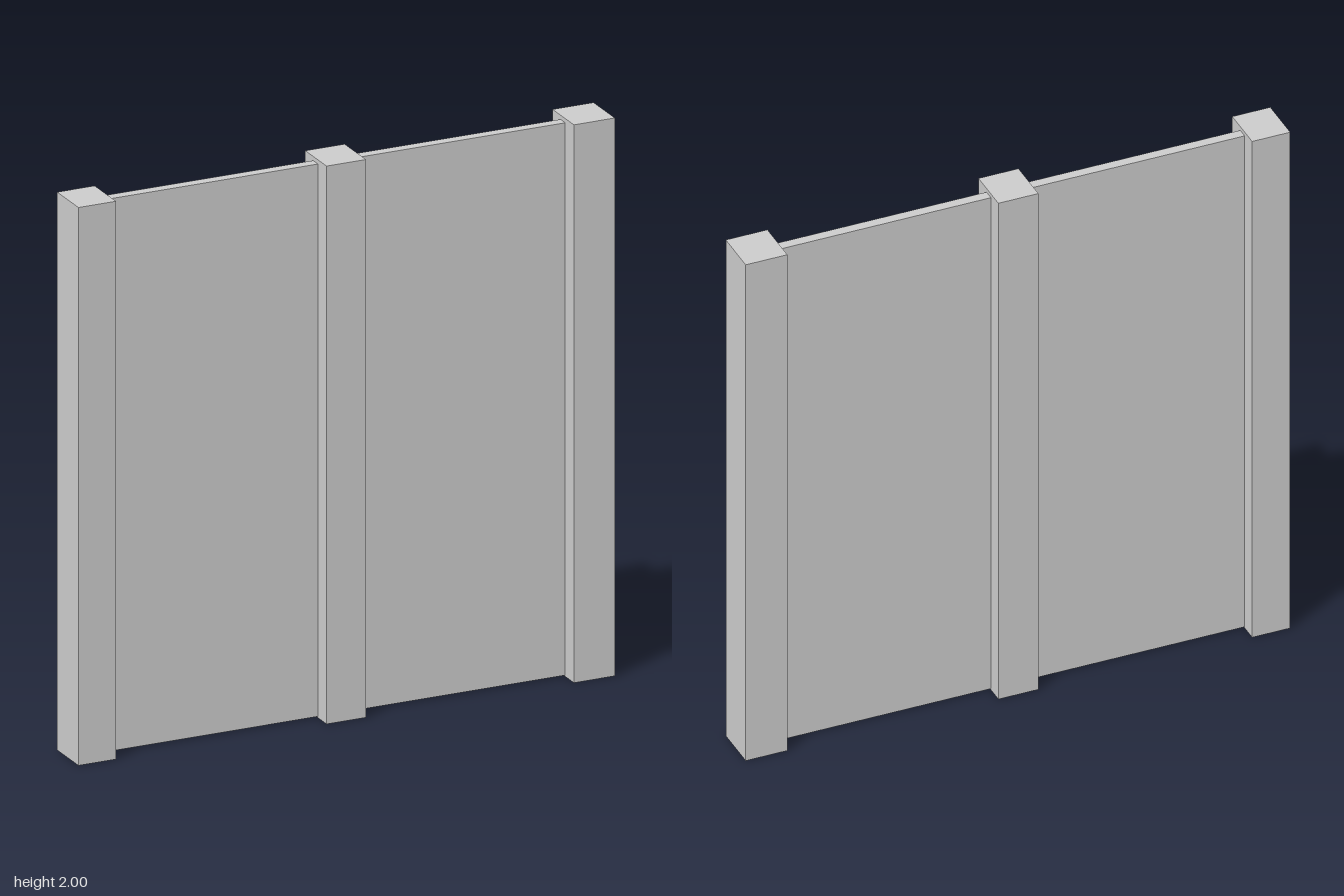
import * as THREE from 'three';

export function createModel() {
  const group = new THREE.Group();
  const material = new THREE.MeshStandardMaterial({ color: 0xcccccc, flatShading: true });

  // Box given by its extents on each axis
  function addBox(name, [x0, x1], [y0, y1], [z0, z1]) {
    const mesh = new THREE.Mesh(new THREE.BoxGeometry(x1 - x0, y1 - y0, z1 - z0), material);
    mesh.position.set((x0 + x1) / 2, (y0 + y1) / 2, (z0 + z1) / 2);
    mesh.name = name;
    group.add(mesh);
  }

  // Three full-height posts
  const posts = [
    ['rightPost', [-1, -0.86]],
    ['middlePost', [-0.075, 0.072]],
    ['leftPost', [0.847, 1]],
  ];
  for (const [name, span] of posts) addBox(name, span, [0, 2], [-0.083, 0.083]);

  // Thin wall panels filling the gaps between neighbouring posts
  ['rightPanel', 'leftPanel'].forEach((name, i) => {
    addBox(name, [posts[i][1][1], posts[i + 1][1][0]], [0.005, 1.985], [-0.021, 0.016]);
  });

  return group;
}
